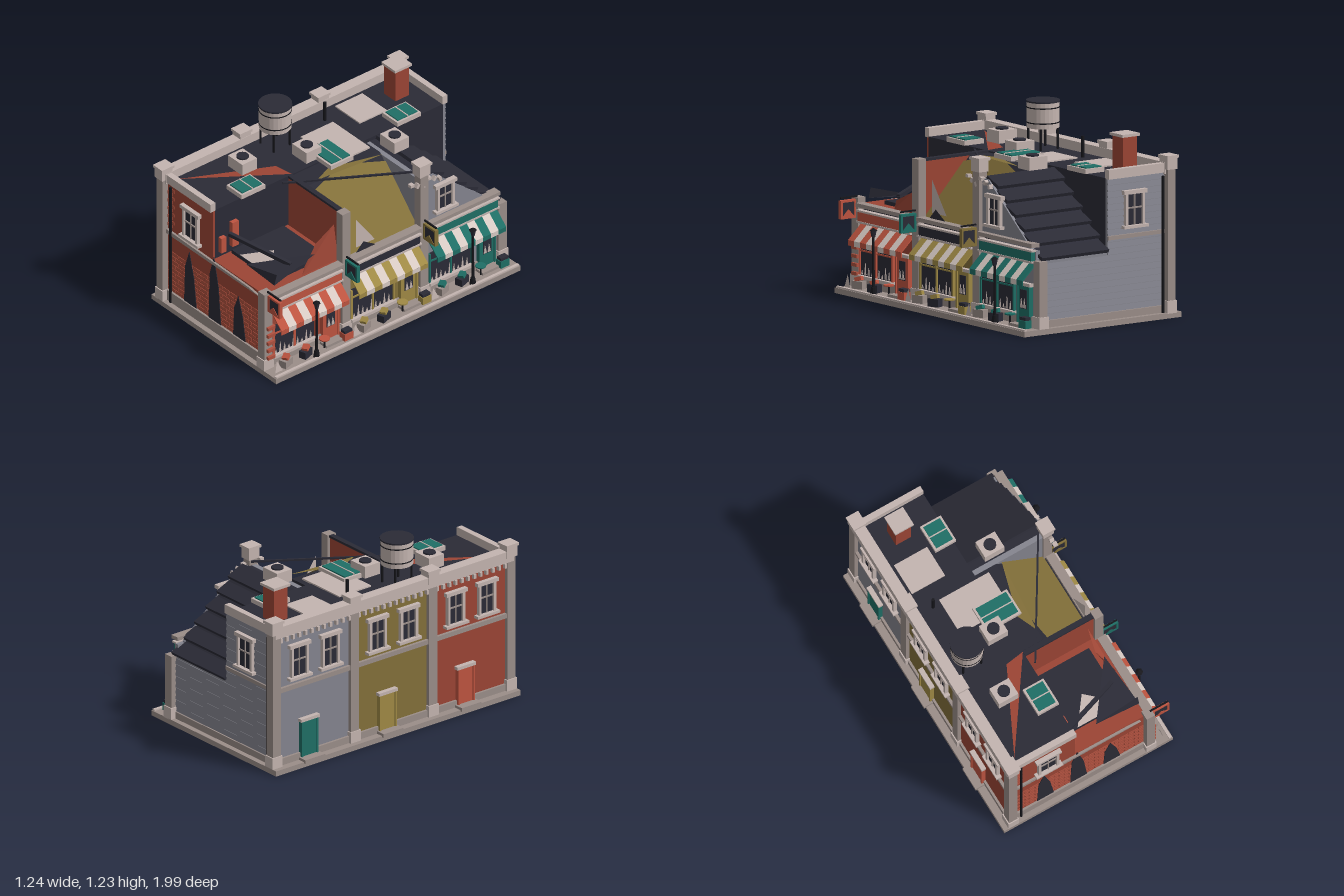
import * as THREE from 'three';

const RED = 0x9c4535, BRICK = 0xb0513f, OLIVE = 0x83703a, GREY = 0x85858f, DARK = 0x2b2b36, TEAL = 0x1f6f66,
  STONE = 0x9b8e89, PALE = 0xc4b5b0, ORANGE = 0xbe5440, BLACK = 0x17171c, CREAM = 0xd8cbc4;
const mats = {};
const mat = (c) => (mats[c] ??= new THREE.MeshStandardMaterial({ color: c, side: THREE.DoubleSide, flatShading: true }));

function add(parent, name, geo, color, x = 0, y = 0, z = 0) {
  const m = new THREE.Mesh(geo, mat(color));
  m.name = name;
  m.position.set(x, y, z);
  parent.add(m);
  return m;
}
const box = (p, name, c, w, h, d, x, y, z) => add(p, name, new THREE.BoxGeometry(w, h, d), c, x, y, z);
// box given by its limits on each axis
const span = (p, name, c, x0, x1, y0, y1, z0, z1) =>
  box(p, name, c, x1 - x0, y1 - y0, z1 - z0, (x0 + x1) / 2, (y0 + y1) / 2, (z0 + z1) / 2);
const cyl = (p, name, c, r0, r1, h, x, y, z, n = 16) => add(p, name, new THREE.CylinderGeometry(r1, r0, h, n), c, x, y, z);
function group(parent, name, x = 0, y = 0, z = 0, ry = 0) {
  const g = new THREE.Group();
  g.name = name;
  g.position.set(x, y, z);
  g.rotation.y = ry;
  parent.add(g);
  return g;
}
// flat outline extruded along local z
function plate(p, name, c, pts, depth, x = 0, y = 0, z = 0) {
  const s = new THREE.Shape(pts.map((q) => new THREE.Vector2(...q)));
  return add(p, name, new THREE.ExtrudeGeometry(s, { depth, bevelEnabled: false }), c, x, y, z);
}
// outline in (z, y), extruded along x from x0 to x1
function sidePlate(p, name, c, pts, x0, x1) {
  const m = plate(p, name, c, pts.map(([z, y]) => [-z, y]), x1 - x0, x0, 0, 0);
  m.rotation.y = Math.PI / 2;
  return m;
}
// thin sheet through a few points, as a fan
function sheet(p, name, c, pts) {
  const g = new THREE.BufferGeometry().setFromPoints(pts.map((q) => new THREE.Vector3(...q)));
  const idx = [];
  for (let i = 1; i < pts.length - 1; i++) idx.push(0, i, i + 1);
  g.setIndex(idx);
  g.computeVertexNormals();
  return add(p, name, g, c);
}
function bar(p, name, c, a, b, t) {
  const A = new THREE.Vector3(...a), B = new THREE.Vector3(...b);
  const m = box(p, name, c, t, t, A.distanceTo(B), 0, 0, 0);
  m.position.copy(A).add(B).multiplyScalar(0.5);
  m.lookAt(B);
}

// framed window, origin at its centre, facing local +z
function sashWindow(parent, x, y, z, ry, w = 0.13, h = 0.2) {
  const g = group(parent, 'window', x, y, z, ry);
  box(g, 'glass', DARK, w, h, 0.01, 0, 0, 0.005);
  for (const s of [-1, 1]) box(g, 'jamb', PALE, 0.018, h, 0.03, s * w / 2, 0, 0.01);
  box(g, 'lintel', PALE, w + 0.05, 0.025, 0.035, 0, h / 2 + 0.01, 0.012);
  box(g, 'sill', PALE, w + 0.06, 0.018, 0.045, 0, -h / 2 - 0.008, 0.015);
  box(g, 'mullion', STONE, 0.007, h, 0.02, 0, 0, 0.008);
  box(g, 'transom', STONE, w, 0.009, 0.02, 0, 0.01, 0.008);
}
function door(parent, x, y, z, ry, c, w = 0.11, h = 0.25) {
  const g = group(parent, 'door', x, y, z, ry);
  box(g, 'leaf', c, w, h, 0.025, 0, h / 2, 0.01);
  for (const s of [-1, 1]) box(g, 'frame', c, 0.012, h, 0.04, s * (w / 2 + 0.006), h / 2, 0.01);
  box(g, 'head', PALE, w + 0.04, 0.02, 0.045, 0, h + 0.01, 0.01);
  box(g, 'step', STONE, w + 0.05, 0.025, 0.08, 0, 0, 0.04);
  return g;
}

// one shop front, local +z is outward, local x runs along the street
function shopFront(parent, b) {
  const g = group(parent, b.name + 'Front', 0.45, 0, b.z, Math.PI / 2);
  box(g, 'frontWall', b.wall, 0.57, 0.48, 0.03, 0, 0.28, 0);
  box(g, 'stallRiser', STONE, 0.56, 0.06, 0.03, 0, 0.07, 0.015);
  box(g, 'displayGlass', DARK, 0.33, 0.21, 0.01, -0.1, 0.22, 0.02);
  box(g, 'displaySill', PALE, 0.36, 0.02, 0.05, -0.1, 0.105, 0.025);
  for (const x of [-0.27, -0.1, 0.07]) box(g, 'displayPost', b.c, 0.014, 0.21, 0.03, x, 0.22, 0.02);
  box(g, 'displayRail', b.c, 0.34, 0.01, 0.025, -0.1, 0.27, 0.02);
  for (let i = 0; i < 9; i++) {
    const x = -0.25 + i * 0.035, h = 0.025 + 0.025 * ((i * 5) % 3);
    plate(g, 'glassShard', PALE, [[x - 0.009, 0.12], [x + 0.009, 0.12], [x + 0.003, 0.12 + h]], 0.004, 0, 0, 0.026);
  }
  const d = door(g, 0.185, 0.04, 0.015, 0, b.c);
  box(d, 'doorGlass', DARK, 0.065, 0.12, 0.005, 0, 0.165, 0.024);
  for (const x of [-0.02, 0.012]) plate(d, 'doorShard', PALE, [[x - 0.01, 0.11], [x + 0.015, 0.11], [x, 0.17]], 0.004, 0, 0, 0.026);
  box(g, 'signBoard', b.sign, 0.54, 0.06, 0.03, 0, 0.485, 0.03);
  for (const y of [0.45, 0.52]) box(g, 'signTrim', PALE, 0.56, 0.012, 0.04, 0, y, 0.03);
  box(g, 'cornice', STONE, 0.57, 0.025, 0.06, 0, 0.555, 0.02);
  // striped awning with a hanging edge
  const n = 9, w = 0.55 / n;
  for (let i = 0; i < n; i++) {
    const c = i % 2 ? CREAM : b.c, x = -0.275 + w * (i + 0.5);
    box(g, 'awningStripe', c, w, 0.008, 0.135, x, 0.385, 0.065).rotation.x = 0.75;
    box(g, 'awningEdge', c, w, 0.035, 0.006, x, 0.325, 0.112);
  }
}
function hangingSign(parent, z, c) {
  const g = group(parent, 'hangingSign', 0.545, 0.53, z);
  box(g, 'board', DARK, 0.1, 0.1, 0.015, 0, 0, 0);
  for (const s of [-1, 1]) {
    box(g, 'frame', c, 0.115, 0.014, 0.025, 0, s * 0.052, 0);
    box(g, 'frame', c, 0.014, 0.115, 0.025, s * 0.052, 0, 0);
    plate(g, 'tornPanel', c, [[-0.045, -0.045], [0.045, -0.045], [0, 0]], 0.004, 0, 0, s * 0.012);
  }
  box(g, 'bracket', BLACK, 0.13, 0.01, 0.01, -0.01, 0.075, 0);
}
function lampPost(parent, z) {
  const g = group(parent, 'lampPost', 0.575, 0.03, z);
  cyl(g, 'foot', BLACK, 0.022, 0.014, 0.05, 0, 0.03, 0, 8);
  cyl(g, 'post', BLACK, 0.009, 0.008, 0.36, 0, 0.2, 0, 8);
  cyl(g, 'lantern', DARK, 0.012, 0.02, 0.04, 0, 0.39, 0, 6);
  cyl(g, 'lanternCap', BLACK, 0.026, 0.006, 0.015, 0, 0.418, 0, 6);
}
function streetFurniture(parent, b) {
  const g = group(parent, 'streetFurniture', 0.53, 0.04, b.z);
  box(g, 'planter', b.c, 0.05, 0.05, 0.07, 0.01, 0.025, -0.27);
  box(g, 'planterSoil', DARK, 0.04, 0.03, 0.06, 0.01, 0.055, -0.27);
  for (const z of [0.21, 0.05]) {
    box(g, 'crate', z > 0.1 ? STONE : DARK, 0.05, 0.05, 0.08, 0, 0.025, z).rotation.y = 0.3;
    box(g, 'crateTop', b.c, 0.04, 0.025, 0.045, 0, 0.062, z).rotation.set(0.3, 0.5, 0);
  }
  cyl(g, 'tableTop', b.c, 0.035, 0.035, 0.008, 0, 0.065, -0.1, 10);
  cyl(g, 'tableLeg', BLACK, 0.006, 0.006, 0.065, 0, 0.03, -0.1, 6);
  sheet(g, 'fallenShard', PALE, [[0.03, 0, 0.26], [0.02, 0.08, 0.3], [0.03, 0, 0.32]]);
}
function roofUnit(parent, x, z) {
  const g = group(parent, 'roofUnit', x, 0.92, z);
  box(g, 'casing', PALE, 0.14, 0.08, 0.12, 0, 0.05, 0);
  cyl(g, 'fan', DARK, 0.04, 0.04, 0.012, 0, 0.094, 0, 14);
}
function skylight(parent, x, z, w, d) {
  const g = group(parent, 'skylight', x, 0.93, z);
  box(g, 'curb', PALE, w, 0.03, d, 0, 0.01, 0);
  box(g, 'pane', TEAL, w - 0.03, 0.015, d - 0.03, 0, 0.025, 0);
  box(g, 'glazingBar', PALE, w - 0.02, 0.012, 0.008, 0, 0.03, 0);
}

export function createModel() {
  const root = new THREE.Group();
  root.name = 'ruinedShopRow';
  const bays = [
    { name: 'bakery', z: 0.63, wall: RED, c: ORANGE, sign: ORANGE },
    { name: 'bookShop', z: 0, wall: OLIVE, c: 0xa08a45, sign: DARK },
    { name: 'cafe', z: -0.63, wall: GREY, c: TEAL, sign: TEAL },
  ];
  span(root, 'pavement', STONE, -0.61, 0.61, 0, 0.035, -0.985, 0.985);
  span(root, 'kerb', PALE, 0.585, 0.605, 0.03, 0.045, -0.98, 0.98);

  // dark cores: rear half at full height, street half one floor high
  span(root, 'rearCore', DARK, -0.52, -0.07, 0.03, 0.925, -0.92, 0.92);
  span(root, 'streetCore', DARK, -0.07, 0.44, 0.03, 0.54, -0.31, 0.92);
  sidePlate(root, 'cafeCore', DARK, [[-0.31, 0.04], [-0.31, 0.9], [-0.42, 0.9], [-0.93, 0.46], [-0.93, 0.04]], -0.07, 0.44);

  for (const b of bays) {
    shopFront(root, b);
    streetFurniture(root, b);
    // rear wall with paired upper windows and a door
    span(root, b.name + 'RearWall', b.wall, -0.545, -0.52, 0.03, 0.93, b.z - 0.315, b.z + 0.315);
    for (const s of [-0.125, 0.125]) sashWindow(root, -0.545, 0.71, b.z + s, -Math.PI / 2, 0.12, 0.2);
    door(root, -0.545, 0.04, b.z - 0.05, -Math.PI / 2, b.c);
    for (let i = 0; i < 12; i++) box(root, 'dentil', PALE, 0.025, 0.03, 0.018, -0.555, 0.885, b.z - 0.275 + i * 0.05);
  }
  span(root, 'rearBand', STONE, -0.565, -0.53, 0.53, 0.56, -0.94, 0.94);
  span(root, 'rearPlinth', STONE, -0.56, -0.53, 0.03, 0.08, -0.94, 0.94);
  span(root, 'rearParapet', PALE, -0.575, -0.5, 0.91, 0.985, -0.96, 0.96);

  // stone piers; the street side has lost some of its tops
  const pier = (x, z, top, cap) => {
    span(root, 'pier', STONE, x - 0.03, x + 0.03, 0.03, top, z - 0.033, z + 0.033);
    box(root, 'pierFoot', PALE, 0.075, 0.08, 0.08, x, 0.07, z);
    if (!cap) return;
    box(root, 'pierCap', PALE, 0.075, 0.07, 0.085, x, 0.975, z);
    box(root, 'pierCapSlab', PALE, 0.09, 0.018, 0.1, x, 1.02, z);
  };
  for (const z of [-0.945, -0.315, 0.315, 0.945]) pier(-0.54, z, 0.95, true);
  [[0.945, 0.6], [0.315, 0.93], [-0.315, 0.95], [-0.945, 0.46]].forEach(([z, t]) => pier(0.455, z, t, z === -0.315));

  // brick end wall with jagged breaches
  span(root, 'brickWallLower', RED, -0.52, 0.44, 0.03, 0.56, 0.92, 0.935);
  span(root, 'brickWallUpper', RED, -0.52, -0.07, 0.56, 0.92, 0.92, 0.935);
  span(root, 'brickWallPlinth', STONE, -0.52, 0.44, 0.03, 0.11, 0.93, 0.95);
  for (let r = 0; r < 10; r++)
    for (let i = 0; i < 13; i++)
      box(root, 'brick', BRICK, 0.064, 0.023, 0.004, -0.47 + i * 0.072 + (r % 2) * 0.03, 0.127 + r * 0.03, 0.936);
  for (let r = 0; r < 10; r++) box(root, 'quoinBrick', BRICK, 0.05, 0.022, 0.004, -0.49 + (r % 2) * 0.02, 0.6 + r * 0.03, 0.936);
  for (const [x, h] of [[-0.285, 0.5], [-0.045, 0.59], [0.195, 0.42]])
    plate(root, 'breach', DARK, [[-0.06, 0.11], [0.06, 0.11], [0.035, h * 0.65], [-0.01, h], [-0.05, h * 0.75]], 0.004, x, 0, 0.937);
  plate(root, 'brickWallBand', STONE, [[-0.52, 0.535], [0.4, 0.535], [0.3, 0.55], [-0.52, 0.565]], 0.02, 0, 0, 0.93);
  sashWindow(root, -0.27, 0.715, 0.935, 0);
  cyl(root, 'drainPipe', BLACK, 0.009, 0.009, 0.87, -0.467, 0.465, 0.95, 8);
  for (let i = 0; i < 5; i++) box(root, 'looseBrick', BRICK, 0.035, 0.022, 0.06, 0.485, 0.12 + i * 0.055, 0.93);

  // boarded end wall
  span(root, 'sidingWallLower', GREY, -0.52, 0.44, 0.03, 0.46, -0.935, -0.92);
  span(root, 'sidingWallUpper', GREY, -0.52, -0.07, 0.46, 0.92, -0.935, -0.92);
  for (let i = 0; i < 22; i++) {
    const y = 0.06 + i * 0.04, x1 = y < 0.46 ? 0.44 : -0.07;
    box(root, 'sidingBoard', GREY, x1 + 0.51, 0.036, 0.008, (x1 - 0.51) / 2, y, -0.938).rotation.x = 0.15;
  }
  span(root, 'sidingPlinth', STONE, -0.52, 0.44, 0.03, 0.08, -0.95, -0.93);
  span(root, 'sidingBand', STONE, -0.52, -0.07, 0.535, 0.56, -0.95, -0.93);
  sashWindow(root, -0.27, 0.715, -0.94, Math.PI);
  cyl(root, 'drainPipe', BLACK, 0.009, 0.009, 0.87, -0.49, 0.465, -0.955, 8);
  for (const s of [-1, 1]) span(root, 'endParapet', PALE, -0.52, -0.07, 0.92, 0.98, s * 0.935 - 0.02, s * 0.935 + 0.02);

  // collapsed cafe roof in overlapping stepped sheets, and what is left of its front
  for (let i = 0; i < 6; i++)
    box(root, 'fallenRoofSheet', DARK, 0.52, 0.022, 0.13, 0.19, 0.885 - i * 0.078, -0.44 - i * 0.091).rotation.x = -0.4;
  sidePlate(root, 'cafeUpperWall', GREY, [[-0.3, 0.54], [-0.3, 0.9], [-0.41, 0.9], [-0.6, 0.74], [-0.92, 0.47], [-0.8, 0.5]], 0.435, 0.46);
  sashWindow(root, 0.46, 0.71, -0.49, Math.PI / 2, 0.12, 0.17);
  for (let i = 0; i < 6; i++) box(root, 'crumbledCornice', PALE, 0.03, 0.02, 0.03, 0.47, 0.9 - (i % 3) * 0.02, -0.22 - i * 0.045).rotation.x = i;

  // book shop upper floor: remaining roof and sloping slab
  plate(root, 'bookShopRemains', DARK, [[-0.07, 0.54], [0.425, 0.54], [0.08, 0.915], [-0.07, 0.915]], 0.58, 0, 0, -0.29);
  const onSlope = (x, z) => [x, 0.925 - (x - 0.08) * 1.06, z];
  sheet(root, 'slopingSlab', OLIVE, [onSlope(0.43, 0.3), onSlope(0.43, -0.3), onSlope(0.13, -0.3), onSlope(0.085, -0.1), onSlope(0.08, 0.1), onSlope(0.12, 0.3)]);
  sheet(root, 'roofPatch', OLIVE, [[0.12, 0.926, -0.28], [0.08, 0.926, 0.22], [0.02, 0.926, 0.08]]);
  bar(root, 'fallenBeam', DARK, [0.42, 0.93, -0.34], [-0.04, 0.92, 0.4], 0.012);
  sheet(root, 'plasterShard', PALE, [[0.44, 0.81, 0.2], [0.44, 0.6, 0.2], [0.44, 0.6, 0.05]]);
  sheet(root, 'roofShard', DARK, [[0.45, 0.63, 0.15], [0.45, 0.56, 0.22], [0.45, 0.56, 0.04]]);
  span(root, 'partyWallNear', RED, -0.07, 0.43, 0.54, 0.915, 0.3, 0.325);
  span(root, 'partyWallCoping', DARK, -0.07, 0.43, 0.912, 0.928, 0.295, 0.33);
  span(root, 'partyWallFar', GREY, -0.07, 0.43, 0.54, 0.9, -0.33, -0.295);

  // open bakery upper floor with debris
  span(root, 'bakeryFloor', RED, -0.07, 0.44, 0.54, 0.56, 0.33, 0.935);
  span(root, 'fallenFloor', DARK, -0.05, 0.36, 0.56, 0.585, 0.38, 0.8);
  span(root, 'brokenPost', ORANGE, -0.07, -0.04, 0.61, 0.79, 0.75, 0.8);
  span(root, 'brokenPost', ORANGE, -0.07, -0.04, 0.6, 0.71, 0.85, 0.89);
  sheet(root, 'tornWall', RED, [[0.42, 0.56, 0.62], [0.42, 0.62, 0.6], [0.36, 0.7, 0.46], [0.38, 0.8, 0.33], [0.42, 0.56, 0.33]]);
  sheet(root, 'plasterSheet', PALE, [[0.03, 0.59, 0.8], [0.36, 0.59, 0.8], [0.16, 0.62, 0.63]]);
  sheet(root, 'roofSlab', DARK, [[0.14, 0.595, 0.84], [0.44, 0.67, 0.84], [0.44, 0.6, 0.86], [0.4, 0.66, 0.5]]);
  bar(root, 'fallenJoist', DARK, [-0.05, 0.715, 0.82], [0.36, 0.63, 0.66], 0.025);

  // roof equipment
  sheet(root, 'roofTear', RED, [[-0.475, 0.929, 0.88], [-0.07, 0.929, 0.3], [-0.2, 0.929, 0.32]]);
  for (const [x, z, w, d] of [[-0.35, -0.49, 0.24, 0.22], [-0.165, -0.13, 0.36, 0.26]]) box(root, 'roofPad', PALE, w, 0.012, d, x, 0.928, z);
  for (const [x, z, w, d] of [[-0.13, -0.635, 0.15, 0.19], [-0.075, -0.01, 0.25, 0.18], [-0.13, 0.62, 0.15, 0.19]]) skylight(root, x, z, w, d);
  for (const [x, z] of [[-0.165, 0.1], [-0.32, 0.49], [0.1, -0.39]]) roofUnit(root, x, z);
  box(root, 'chimney', RED, 0.11, 0.24, 0.11, -0.335, 1.04, -0.765);
  box(root, 'chimneyCap', PALE, 0.135, 0.018, 0.135, -0.335, 1.155, -0.765);
  cyl(root, 'ventPipe', BLACK, 0.011, 0.011, 0.14, -0.4, 0.99, -0.24, 8);
  const tank = group(root, 'waterTank', -0.395, 0, 0.165);
  cyl(tank, 'barrel', PALE, 0.103, 0.103, 0.165, 0, 1.143, 0, 24);
  cyl(tank, 'lid', DARK, 0.107, 0.107, 0.01, 0, 1.228, 0, 24);
  for (const y of [1.095, 1.19]) cyl(tank, 'hoop', BLACK, 0.105, 0.105, 0.007, 0, y, 0, 24);
  for (const x of [-0.065, 0.065]) for (const z of [-0.065, 0.065]) cyl(tank, 'leg', BLACK, 0.008, 0.008, 0.15, x, 0.99, z, 6);

  hangingSign(root, 0.94, ORANGE);
  hangingSign(root, 0.315, TEAL);
  hangingSign(root, -0.315, OLIVE);
  for (const z of [0.63, -0.63]) lampPost(root, z);
  return root;
}
